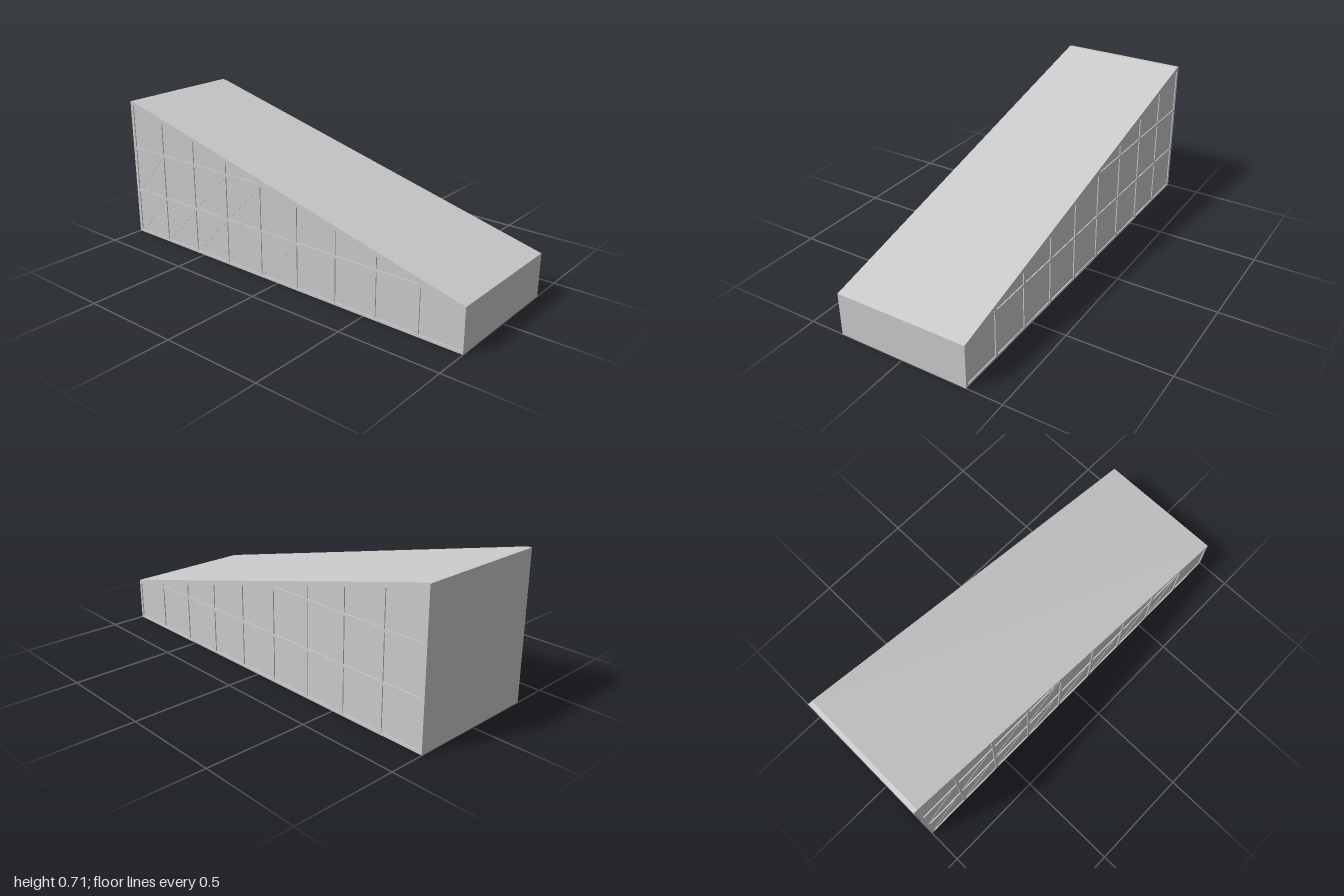
import * as THREE from 'three';

const HALF = 0.327;    // half width over the ribs
const RECESS = 0.005;  // depth of the side bays
const SHEET = 0.006;   // thickness of the outer boards
const RIB = 0.007;     // half width of a rib
const PITCH = 0.222;   // spacing of the studs

// Height of the sloping deck; u runs from the front (-1) to the back (1).
const top = (u) => 0.215 + 0.5 * Math.min((u + 1) / 1.98, 1);

// Extrudes a side profile of [u, y] points across x0..x1.
function slab(name, points, x0, x1, material, holes = []) {
  const toVectors = (list) => list.map(([u, y]) => new THREE.Vector2(u, y));
  const shape = new THREE.Shape(toVectors(points));
  holes.forEach((hole) => shape.holes.push(new THREE.Path(toVectors(hole))));
  const geometry = new THREE.ExtrudeGeometry(shape, { depth: x1 - x0, bevelEnabled: false });
  geometry.rotateY(Math.PI / 2).translate(x0, 0, 0);
  const mesh = new THREE.Mesh(geometry, material);
  mesh.name = name;
  return mesh;
}

// Wedge outline, inset from the ends, the floor and the deck.
const wedge = (inset) => [
  [-1 + inset, inset], [1 - inset, inset], [1 - inset, top(1) - inset],
  [0.98, top(0.98) - inset], [-1 + inset, top(-1 + inset) - inset],
];

// Cuts a polygon off below the sloping rail.
function clipToSlope(polygon) {
  const room = ([u, y]) => top(u) - 0.022 - y;
  const out = [];
  polygon.forEach((a, i) => {
    const b = polygon[(i + 1) % polygon.length];
    const da = room(a), db = room(b);
    if (da >= 0) out.push(a);
    if (da * db < 0) {
      const t = da / (da - db);
      out.push([a[0] + (b[0] - a[0]) * t, a[1] + (b[1] - a[1]) * t]);
    }
  });
  return out;
}

// Bays between studs and rails.
function makeBays() {
  const rails = [0.006, 0.235, 0.465, 0.72];
  const bays = [];
  for (let col = 0; col < 9; col++) {
    const u0 = -1 + col * PITCH + (col ? RIB : 0.014);
    const u1 = Math.min(-1 + (col + 1) * PITCH - RIB, 0.982);
    for (let row = 0; row < 3; row++) {
      const y0 = rails[row] + RIB, y1 = rails[row + 1] - RIB;
      const outline = clipToSlope([[u0, y0], [u1, y0], [u1, y1], [u0, y1]]);
      if (outline.length < 3) continue;
      bays.push({ outline, u0, u1, y0, y1, full: top(u0) - 0.022 >= y1 });
    }
  }
  return bays;
}

export function createModel() {
  const model = new THREE.Group();
  model.name = 'ramp';
  const grey = new THREE.MeshStandardMaterial({ color: 0xcccccc, flatShading: true });
  const inner = HALF - RECESS;

  // Solid body behind the side bays
  model.add(slab('sidePanelCore', wedge(0.004), -inner, inner, grey));

  // Deck, front, back and floor boards
  model.add(slab('deck', [
    [-1, top(-1) - SHEET], [0.98, top(1) - SHEET], [1, top(1) - SHEET],
    [1, top(1)], [0.98, top(1)], [-1, top(-1)],
  ], -HALF, HALF, grey));
  const board = (name, u0, u1, y0, y1) =>
    model.add(slab(name, [[u0, y0], [u1, y0], [u1, y1], [u0, y1]], -HALF, HALF, grey));
  board('frontBoard', -1, -1 + SHEET, 0, top(-1) - SHEET);
  board('backBoard', 1 - SHEET, 1, 0, top(1) - SHEET);
  board('floorBoard', -1 + SHEET, 1 - SHEET, 0, SHEET);

  // Ribbed side frames with faint diagonal braces
  const bays = makeBays();
  for (const side of [1, -1]) {
    const group = new THREE.Group();
    group.name = side > 0 ? 'leftFrame' : 'rightFrame';
    const span = (depth) => (side > 0 ? [inner, inner + depth] : [-inner - depth, -inner]);
    group.add(slab('studsAndRails', wedge(SHEET), ...span(RECESS), grey, bays.map((b) => b.outline)));
    for (const { u0, u1, y0, y1, full } of bays) {
      if (!full) continue;
      const w = 0.012;
      group.add(slab('brace', [
        [u0, y1], [u0, y1 - w], [u1 - w, y0], [u1, y0], [u1, y0 + w], [u0 + w, y1],
      ], ...span(0.0015), grey));
    }
    model.add(group);
  }
  return model;
}
